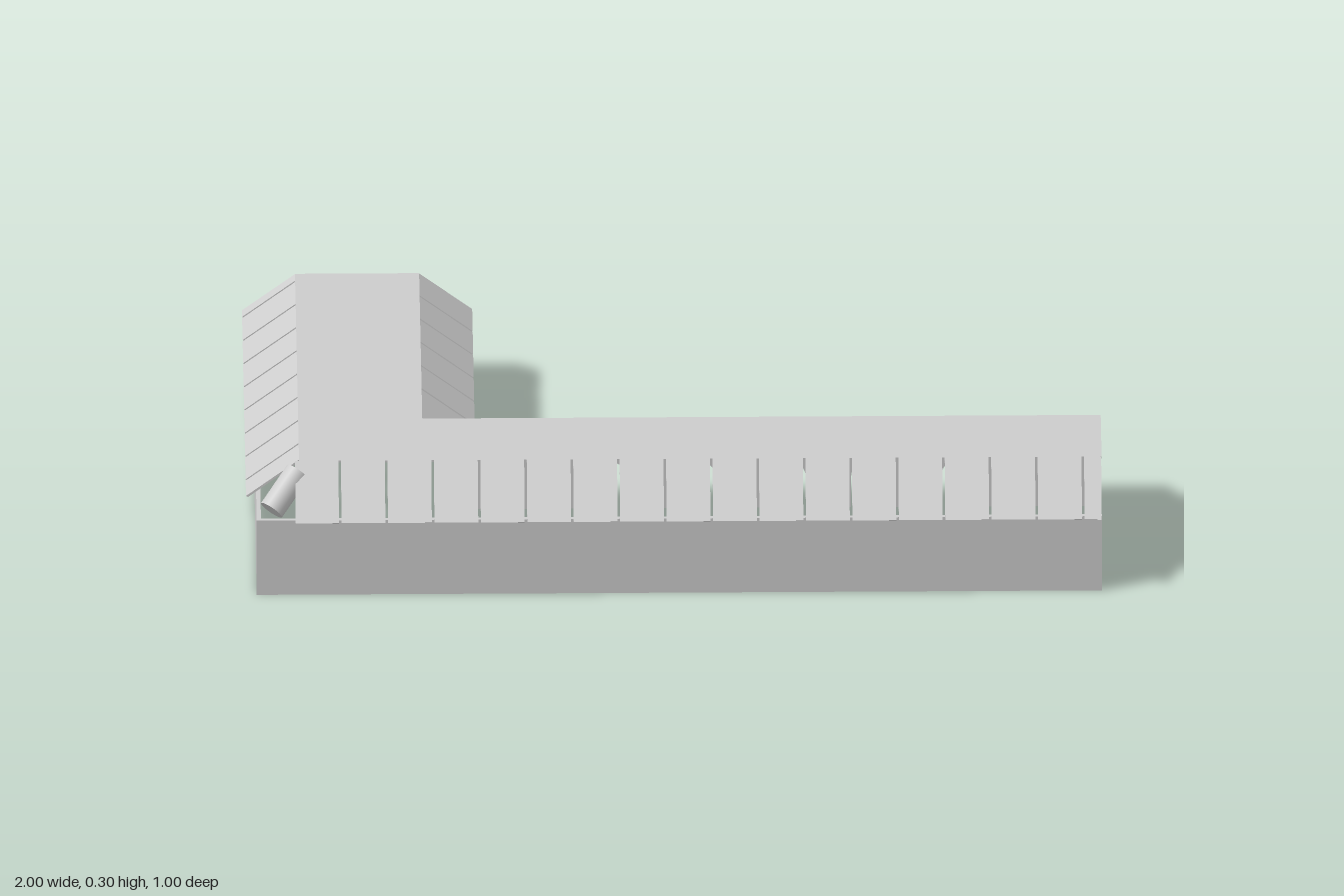
import * as THREE from 'three';

const EAVE = 0.203, TOP = 0.3, RUN = 0.124, T = 0.01;

export function createModel() {
  const model = new THREE.Group();
  const grey = new THREE.MeshStandardMaterial({ color: 0xcccccc, side: THREE.DoubleSide });
  grey.name = 'light grey';

  const add = (name, geo, parent = model) => {
    const m = new THREE.Mesh(geo, grey);
    m.name = name;
    parent.add(m);
    return m;
  };
  const box = (name, x0, x1, y0, y1, z0, z1) =>
    add(name, new THREE.BoxGeometry(x1 - x0, y1 - y0, z1 - z0))
      .position.set((x0 + x1) / 2, (y0 + y1) / 2, (z0 + z1) / 2);
  const polygon = pts => new THREE.Shape(pts.map(p => new THREE.Vector2(...p)));
  const extrude = (shape, depth) =>
    new THREE.ExtrudeGeometry(shape, { depth, bevelEnabled: false, curveSegments: 12 });

  // Plain walls, hollow inside and open below
  box('frontWall', -0.975, 1, 0, 0.2, 0.48 - T, 0.48);
  box('leftWingOuterWall', -0.975, -0.975 + T, 0, 0.2, -0.495, 0.48);
  box('leftWingInnerWall', -0.48 - T, -0.48, 0, 0.2, -0.495, 0.075 + T);

  // Courtyard wall with five arched openings
  const r = 0.0525, spring = 0.08;
  const outline = [[-0.48, 0.2], [-0.48, 0]];
  for (let i = 4; i >= 0; i--) {
    const cx = 0.68 - i * 0.21;
    outline.push([cx - r, 0]);
    for (let k = 0; k <= 12; k++) {
      const a = Math.PI * (1 - k / 12);
      outline.push([cx + r * Math.cos(a), spring + r * Math.sin(a)]);
    }
    outline.push([cx + r, 0]);
  }
  outline.push([1, 0], [1, 0.2]);
  add('archedWall', extrude(polygon(outline), T)).position.z = 0.075;

  // End walls with the gable above
  const endWall = (w0, w1, e0, e1, r0, r1) => extrude(polygon([
    [w0, 0], [w1, 0], [w1, 0.2], [e1, 0.2], [r1, TOP - 0.001], [r0, TOP - 0.001], [e0, 0.2], [w0, 0.2],
  ]), T);
  add('leftWingEndWall', endWall(-0.975, -0.48, -0.998, -0.462, -0.875, -0.585)).position.z = -0.495;
  const end = add('longWingEndWall', endWall(-0.48, -0.075, -0.499, -0.061, -0.375, -0.18));
  end.rotation.y = Math.PI / 2; // local x becomes -z
  end.position.x = 1 - T - 0.001;

  // Flat roof decks
  box('longWingDeck', -0.875, 1, TOP - 0.005, TOP, 0.18, 0.375);
  box('leftWingDeck', -0.875, -0.585, TOP - 0.005, TOP, -0.5, 0.18);

  // Sloped roof panels: profile runs outward from the deck edge to the eave
  const profile = polygon([[0, TOP], [0, TOP - 0.006], [RUN - 0.005, EAVE - 0.003], [RUN, EAVE]]);
  const PITCH = 0.1085, GAP = 0.006;
  const slope = (name, angle, from, to, first, place) => {
    const row = new THREE.Group();
    row.name = name;
    model.add(row);
    for (let s = from, e = first; s < to - 0.01; s = e, e += PITCH) {
      const stop = Math.min(e, to);
      const p = add('roofPanel', extrude(profile, stop - s - GAP), row);
      p.rotation.y = angle;
      place(p.position, s + GAP / 2, stop - GAP / 2);
    }
  };
  slope('frontSlope', -Math.PI / 2, -0.887, 1, -0.78, (p, s, e) => p.set(e, 0, 0.375));
  slope('courtyardSlope', Math.PI / 2, -0.458, 1, -0.346, (p, s) => p.set(s, 0, 0.18));
  slope('leftWingOuterSlope', Math.PI, -0.502, 0.372, -0.465, (p, s, e) => p.set(-0.875, 0, e));
  slope('leftWingInnerSlope', 0, -0.502, 0.045, -0.393, (p, s) => p.set(-0.585, 0, s));

  // Valley where the two courtyard slopes meet
  const valley = (name, pts) => {
    const g = new THREE.BufferGeometry();
    g.setAttribute('position', new THREE.Float32BufferAttribute(pts.flat(), 3));
    g.computeVertexNormals();
    add(name, g);
  };
  const ridge = [-0.585, TOP, 0.18], low = [-0.461, EAVE, 0.056];
  valley('valleyCourtyardSide', [ridge, [-0.461, TOP, 0.18], low]);
  valley('valleyWingSide', [ridge, low, [-0.585, TOP, 0.056]]);
  valley('valleyWingStrip', [
    [-0.585, TOP, 0.056], low, [-0.585, TOP, 0.045],
    low, [-0.461, EAVE, 0.045], [-0.585, TOP, 0.045],
  ]);

  // Slanted round hip piece in the open corner
  const a = new THREE.Vector3(-0.94, 0.205, 0.44), b = new THREE.Vector3(-0.878, 0.272, 0.378);
  const dir = b.clone().sub(a);
  const hip = add('cornerHip', new THREE.CylinderGeometry(0.03, 0.03, dir.length(), 20));
  hip.position.copy(a).add(b).multiplyScalar(0.5);
  hip.quaternion.setFromUnitVectors(new THREE.Vector3(0, 1, 0), dir.normalize());

  return model;
}
